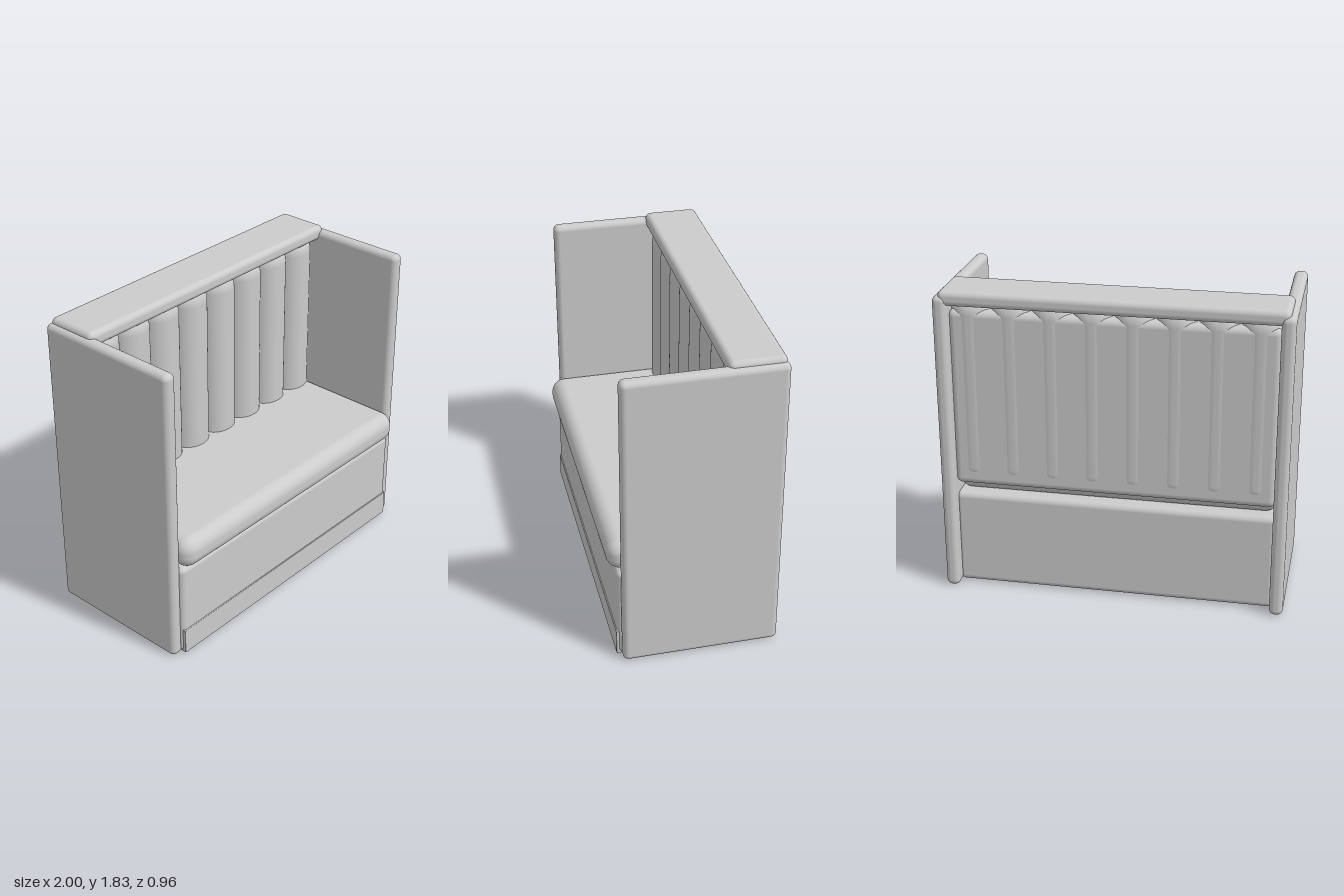
import * as THREE from 'three';
import { RoundedBoxGeometry } from 'three/addons/geometries/RoundedBoxGeometry.js';

const material = new THREE.MeshStandardMaterial({ color: 0xcccccc });

// Rounded block given by its min/max extents on each axis.
function block(name, [x0, x1], [y0, y1], [z0, z1], radius, segments = 5) {
  const geometry = new RoundedBoxGeometry(x1 - x0, y1 - y0, z1 - z0, segments, radius);
  const mesh = new THREE.Mesh(geometry, material);
  mesh.name = name;
  mesh.position.set((x0 + x1) / 2, (y0 + y1) / 2, (z0 + z1) / 2);
  return mesh;
}

export function createModel() {
  const booth = new THREE.Group();
  booth.name = 'highBackBooth';

  // Tall side panels
  booth.add(block('leftPanel', [0.92, 1], [0, 1.8], [-0.48, 0.415], 0.033));
  booth.add(block('rightPanel', [-1, -0.92], [0, 1.8], [-0.48, 0.415], 0.033));

  // Seat base, kick plate and cushion
  booth.add(block('seatBase', [-0.94, 0.94], [0.005, 0.585], [-0.405, 0.435], 0.035));
  booth.add(block('kickPlate', [-0.93, 0.93], [0.01, 0.165], [0.4, 0.442], 0.004, 2));
  booth.add(block('seatCushion', [-0.94, 0.94], [0.58, 0.765], [-0.36, 0.48], 0.08, 8));

  // Backrest board and its upholstered vertical channels
  booth.add(block('backBoard', [-0.93, 0.93], [0.65, 1.71], [-0.42, -0.28], 0.04));
  const channels = new THREE.Group();
  channels.name = 'backrestChannels';
  const count = 8, pitch = 0.232, halfWidth = 0.125;
  for (let i = 0; i < count; i++) {
    const x = (i - (count - 1) / 2) * pitch;
    channels.add(block('backrestChannel', [x - halfWidth, x + halfWidth],
      [0.64, 1.8], [-0.423, -0.17], 0.118, 8));
  }
  booth.add(channels);

  // Padded top rail
  booth.add(block('topRail', [-0.97, 0.97], [1.742, 1.83], [-0.47, -0.155], 0.033));

  return booth;
}
